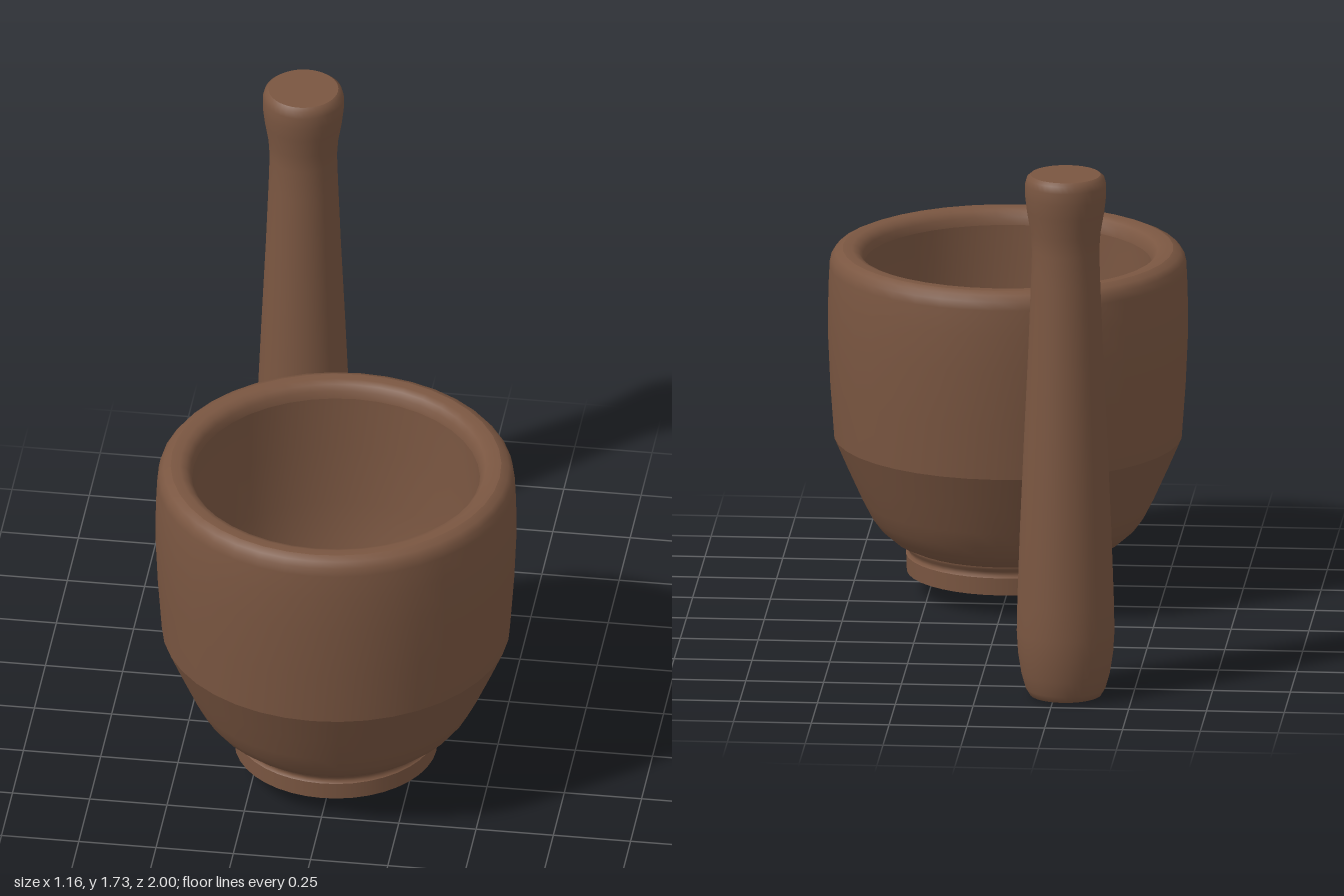
import * as THREE from 'three';

const wood = new THREE.MeshStandardMaterial({ color: 0x7a5641 });

// Turned piece: each run of [radius, height] is smooth, edges between runs stay sharp
function turned(name, runs) {
  const group = new THREE.Group();
  group.name = name;
  for (const [part, points] of Object.entries(runs)) {
    const profile = points.map(([r, y]) => new THREE.Vector2(r, y));
    const mesh = new THREE.Mesh(new THREE.LatheGeometry(profile, 40), wood);
    mesh.name = part;
    group.add(mesh);
  }
  return group;
}

export function createModel() {
  const model = new THREE.Group();
  model.name = 'mortarAndPestle';

  // Mortar: profile runs from under the foot, up the outside and down into the bowl
  const mortar = turned('mortar', {
    footRecessTop: [[0, 0.16], [0.25, 0.16]],
    footRecessWall: [[0.25, 0.16], [0.26, 0.073]],
    footUnderside: [[0.26, 0.073], [0.325, 0.073]],
    footRing: [[0.325, 0.073], [0.327, 0.13]],
    footStep: [[0.327, 0.13], [0.318, 0.137], [0.322, 0.15], [0.332, 0.16], [0.333, 0.168]],
    bodyBase: [[0.333, 0.168], [0.37, 0.185], [0.41, 0.22], [0.44, 0.26], [0.468, 0.315],
      [0.515, 0.42], [0.558, 0.52]],
    bodyWall: [[0.558, 0.52], [0.571, 0.7], [0.579, 0.88], [0.577, 1.0], [0.573, 1.085],
      [0.567, 1.112], [0.553, 1.13], [0.53, 1.14]],
    rim: [[0.53, 1.14], [0.5, 1.14], [0.48, 1.132], [0.466, 1.115], [0.461, 1.09]],
    bowl: [[0.461, 1.09], [0.46, 0.9], [0.45, 0.7], [0.43, 0.54], [0.395, 0.43], [0.34, 0.365],
      [0.28, 0.325], [0.23, 0.27], [0.205, 0.21]],
    bowlFloor: [[0.205, 0.21], [0, 0.21]],
  });
  mortar.position.z = 0.42;

  // Pestle: blunt grinding end, tapering shaft and flared grip
  const pestle = turned('pestle', {
    grindingEnd: [[0, 0.012], [0.085, 0.012], [0.095, 0.003]],
    shaft: [[0.095, 0.003], [0.115, 0.008], [0.128, 0.03], [0.142, 0.08], [0.153, 0.15],
      [0.157, 0.22], [0.155, 0.32], [0.147, 0.55], [0.134, 0.85], [0.12, 1.15], [0.111, 1.38],
      [0.108, 1.48], [0.112, 1.54], [0.124, 1.61], [0.13, 1.66], [0.13, 1.7], [0.124, 1.722],
      [0.112, 1.732]],
    gripTop: [[0.112, 1.732], [0, 1.732]],
  });
  pestle.position.set(-0.285, 0, -0.843);

  model.add(mortar, pestle);
  return model;
}
